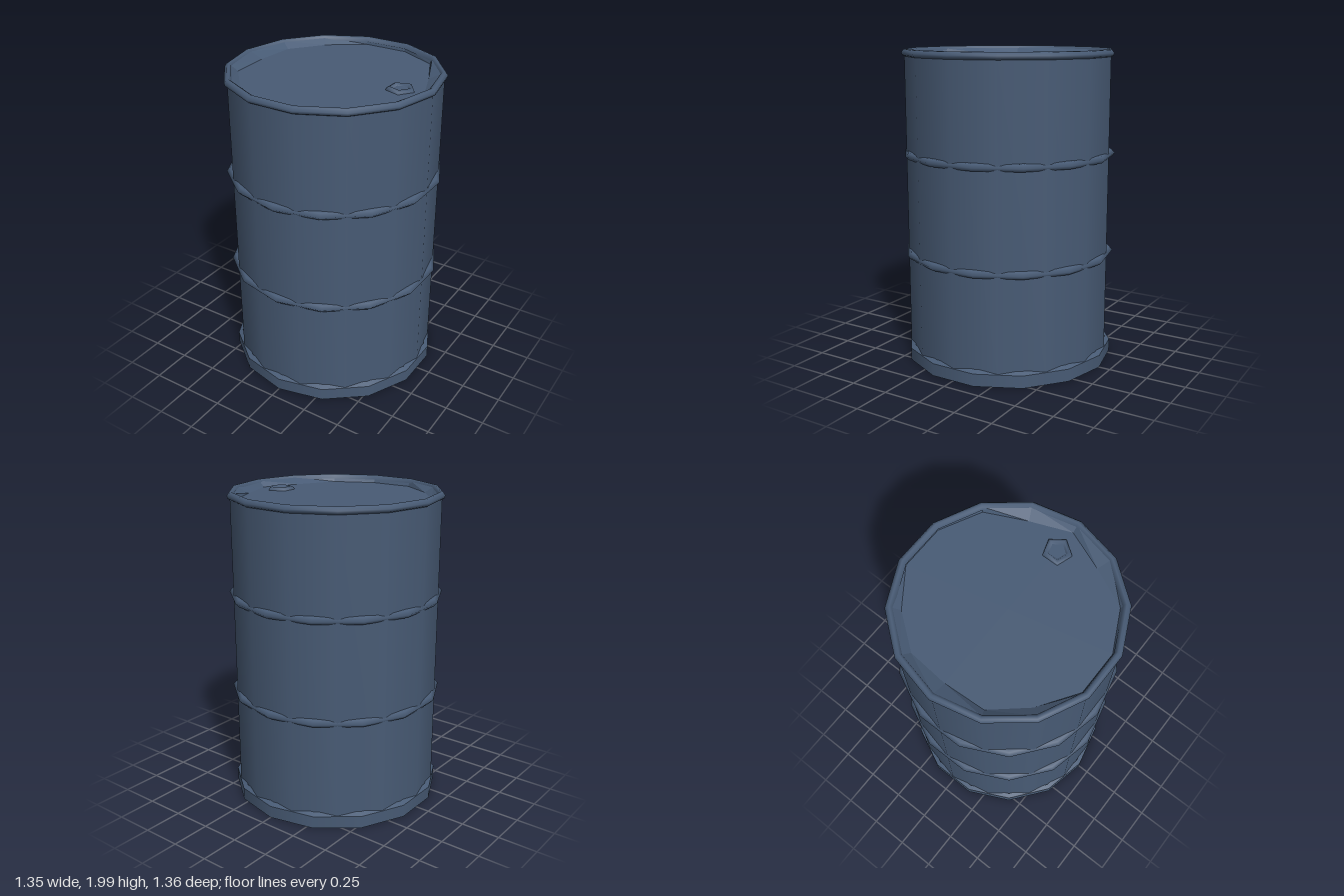
import * as THREE from 'three';

const SIDES = 14;
const STEP = (Math.PI * 2) / SIDES;

export function createModel() {
  const group = new THREE.Group();
  const bluePaint = new THREE.MeshStandardMaterial({ color: 0x485b75 });
  bluePaint.name = 'bluePaint';

  const add = (name, geometry) => {
    const mesh = new THREE.Mesh(geometry, bluePaint);
    mesh.name = name;
    group.add(mesh);
    return mesh;
  };
  // Revolved profile of [radius, y] points, run upwards on the outside
  const turn = (name, profile, start = STEP / 2, sides = SIDES) =>
    add(name, new THREE.LatheGeometry(profile.map(([r, y]) => new THREE.Vector2(r, y)), sides, start));

  // Drum wall
  turn('wall', [[0.655, 0.05], [0.655, 1.96]]);

  // Rolling hoops, turned half a side against the wall
  for (const [name, y] of [['lowerHoop', 0.7], ['upperHoop', 1.34]]) {
    turn(name, [[0.635, y - 0.025], [0.66, y - 0.022], [0.68, y], [0.66, y + 0.022], [0.635, y + 0.025]], 0);
  }

  // Foot band with bevelled top, and the underside inside it
  turn('footBand', [[0.675, 0], [0.675, 0.08]], 0);
  turn('footBevel', [[0.675, 0.08], [0.645, 0.097]], 0);
  turn('footLip', [[0.635, 0.012], [0.645, 0], [0.675, 0]], 0);
  turn('underside', [[0, 0.012], [0.635, 0.012]], 0);

  // Rolled top rim
  turn('topRim', [
    [0.65, 1.945], [0.668, 1.955], [0.673, 1.972], [0.66, 1.99],
    [0.645, 1.993], [0.632, 1.985], [0.625, 1.965],
  ]);

  // Dented lid: an uneven floor outline joined to the rim by a sloping wall
  const lidRadii = [0.62, 0.615, 0.555, 0.6, 0.56, 0.624, 0.63, 0.63, 0.584, 0.58, 0.545, 0.59, 0.58, 0.62];
  const ringPoint = (i, r, y) => {
    const a = STEP * (i + 0.5);
    return [Math.sin(a) * r, y, Math.cos(a) * r];
  };
  const floor = [];
  const slope = [];
  for (let i = 0; i < SIDES; i++) {
    const j = (i + 1) % SIDES;
    const a = ringPoint(i, lidRadii[i], 1.945);
    const b = ringPoint(j, lidRadii[j], 1.945);
    const c = ringPoint(j, 0.637, 1.982);
    const d = ringPoint(i, 0.637, 1.982);
    floor.push(0, 1.945, 0, ...a, ...b);
    slope.push(...a, ...d, ...c, ...a, ...c, ...b);
  }
  for (const [name, points] of [['lid', floor], ['lidSlope', slope]]) {
    const geometry = new THREE.BufferGeometry();
    geometry.setAttribute('position', new THREE.Float32BufferAttribute(points, 3));
    geometry.computeVertexNormals();
    add(name, geometry);
  }

  // Five-sided filler collar with a sunken plug
  const collar = turn('fillerCollar', [[0.09, 1.94], [0.085, 1.958], [0.065, 1.966], [0.05, 1.95]], Math.PI / 10, 5);
  const plug = turn('fillerPlug', [[0.056, 1.951], [0, 1.951]], Math.PI / 10, 5);
  collar.position.x = plug.position.x = 0.45;

  return group;
}
